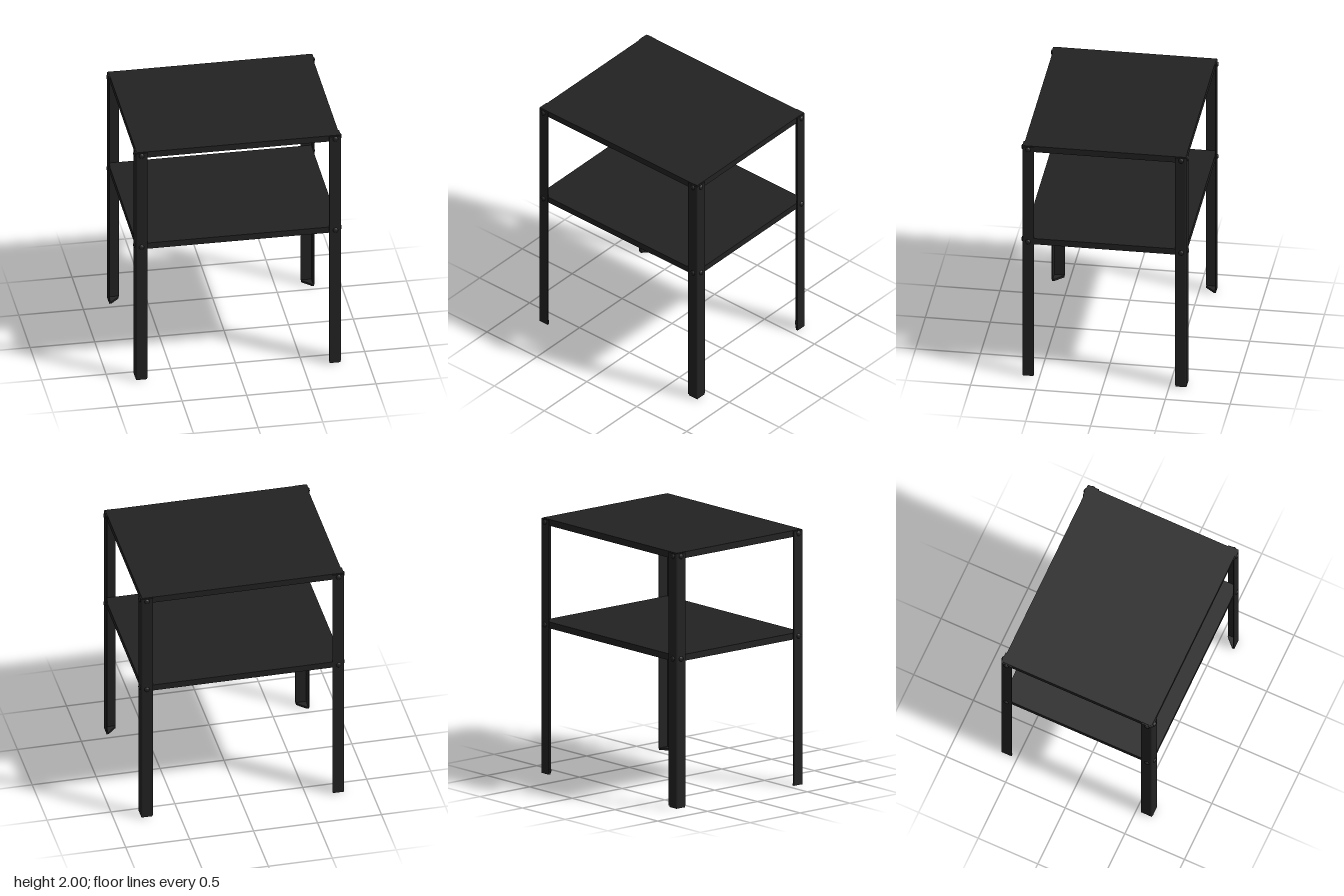
import * as THREE from 'three';

const HX = 0.795, HZ = 0.635; // outer faces of the legs
const T = 0.01;               // sheet thickness
const FLANGE = 0.092;         // leg flange width

const steel = new THREE.MeshStandardMaterial({ color: 0x222222 });
steel.name = 'black steel';
const pad = new THREE.MeshStandardMaterial({ color: 0x555555 });
pad.name = 'grey foot pad';

// Plan outline for one corner, given as [inset x, inset z] from the outer corner, extruded upwards
function cornerPrism(points, sx, sz, height, y) {
  const pts = points.map(([a, b]) => new THREE.Vector2(sx * (HX - a), -sz * (HZ - b)));
  const geo = new THREE.ExtrudeGeometry(new THREE.Shape(pts), { depth: height, bevelEnabled: false });
  return geo.rotateX(-Math.PI / 2).translate(0, y, 0);
}

export function createModel() {
  const model = new THREE.Group();
  model.name = 'shelfTable';

  const add = (parent, geo, mat, name) => {
    const mesh = new THREE.Mesh(geo, mat);
    mesh.name = name;
    parent.add(mesh);
    return mesh;
  };

  // Shelves: folded sheet trays with the rim turned down
  const w = 2 * (HX - T), d = 2 * (HZ - T), rim = 0.05;
  for (const [name, top] of [['topShelf', 2], ['middleShelf', 1.197]]) {
    const shelf = new THREE.Group();
    shelf.name = name;
    add(shelf, new THREE.BoxGeometry(w, T, d).translate(0, top - T / 2, 0), steel, 'panel');
    const y = top - T - (rim - T) / 2;
    for (const s of [-1, 1]) {
      add(shelf, new THREE.BoxGeometry(w, rim - T, T).translate(0, y, s * (d - T) / 2), steel, 'longRim');
      add(shelf, new THREE.BoxGeometry(T, rim - T, d - 2 * T).translate(s * (w - T) / 2, y, 0), steel, 'shortRim');
    }
    model.add(shelf);
  }

  // Angle profile with a rounded outer bend
  const bend = [];
  const R = 0.014;
  for (let i = 0; i <= 4; i++) {
    const a = (i / 4) * Math.PI / 2;
    bend.push([R - R * Math.sin(a), R - R * Math.cos(a)]);
  }
  const angle = [[FLANGE, T], [FLANGE, 0], ...bend, [0, FLANGE], [T, FLANGE], [T, T]];
  const e = 0.004;
  const foot = [[FLANGE - e, e], [e, e], [e, FLANGE - e], [0.02, FLANGE - e], [FLANGE - e, 0.02]];
  const sole = [[0.07, 0.014], [0.014, 0.014], [0.014, 0.07]];

  // Bolt head outside, washer and nut inside, pointing along +y before turning
  const headProfile = [[0, 0.011], [0.011, 0.01], [0.018, 0.006], [0.02, 0]]
    .reverse().map(([r, y]) => new THREE.Vector2(r, y));

  for (const sx of [-1, 1]) for (const sz of [-1, 1]) {
    const leg = new THREE.Group();
    leg.name = (sz > 0 ? 'front' : 'back') + (sx > 0 ? 'Left' : 'Right') + 'Leg';
    add(leg, cornerPrism(angle, sx, sz, 1.98, 0.015), steel, 'angleLeg');
    add(leg, cornerPrism(foot, sx, sz, 0.016, 0.002), steel, 'foot');
    add(leg, cornerPrism(sole, sx, sz, 0.003, 0), pad, 'footPad');

    for (const y of [1.972, 1.17]) {
      for (const alongX of [true, false]) {
        const bolt = new THREE.Group();
        bolt.name = 'bolt';
        add(bolt, new THREE.LatheGeometry(headProfile, 16), steel, 'boltHead');
        add(bolt, new THREE.CylinderGeometry(0.016, 0.016, 0.012, 6).translate(0, -0.026, 0), steel, 'nut');
        if (alongX) {
          bolt.rotation.z = -sx * Math.PI / 2;
          bolt.position.set(sx * HX, y, sz * (HZ - 0.045));
        } else {
          bolt.rotation.x = sz * Math.PI / 2;
          bolt.position.set(sx * (HX - 0.045), y, sz * HZ);
        }
        leg.add(bolt);
      }
    }
    model.add(leg);
  }
  return model;
}
